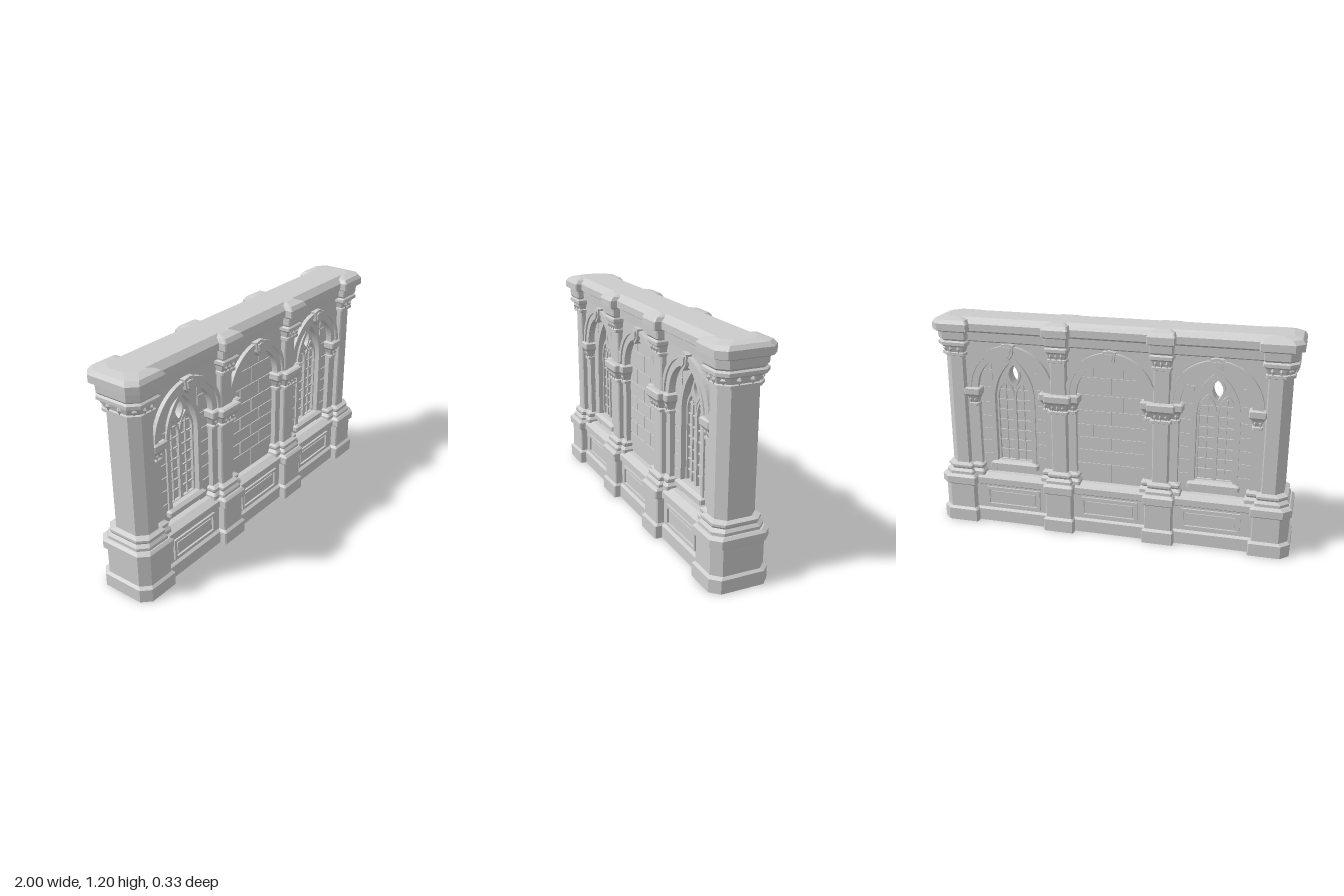
import * as THREE from 'three';

const stone = new THREE.MeshStandardMaterial({ color: 0xcccccc });
stone.name = 'pale stone';

function mesh(parent, name, geo, x = 0, y = 0, z = 0) {
  const m = new THREE.Mesh(geo, stone);
  m.name = name;
  m.position.set(x, y, z);
  parent.add(m);
  return m;
}

const box = (parent, name, w, h, d, x, y, z) => mesh(parent, name, new THREE.BoxGeometry(w, h, d), x, y, z);

// Stacked rectangular sections with chamfered corners; levels are [y, offset].
function loft(levels, x0, x1, hz, cL = 0.006, cR = 0.006, xScale = 1) {
  const rings = levels.map(([y, o]) => {
    const a = x0 - o * xScale, b = x1 + o * xScale, h = hz + o;
    return [[b, h - cR], [b, cR - h], [b - cR, -h], [a + cL, -h], [a, cL - h], [a, h - cL], [a + cL, h], [b - cR, h]]
      .map(([x, z]) => [x, y, z]);
  });
  const pos = [];
  const tri = (...p) => p.forEach(v => pos.push(...v));
  for (let k = 0; k + 1 < rings.length; k++) {
    for (let i = 0; i < 8; i++) {
      const j = (i + 1) % 8, lo = rings[k], hi = rings[k + 1];
      tri(lo[i], lo[j], hi[j]);
      tri(lo[i], hi[j], hi[i]);
    }
  }
  const bot = rings[0], top = rings[rings.length - 1];
  for (let i = 1; i < 7; i++) {
    tri(top[0], top[i], top[i + 1]);
    tri(bot[0], bot[i + 1], bot[i]);
  }
  const g = new THREE.BufferGeometry();
  g.setAttribute('position', new THREE.Float32BufferAttribute(pos, 3));
  g.computeVertexNormals();
  return g;
}

// Shapes
function trace(p, pts) {
  pts.forEach(([x, y], i) => (i ? p.lineTo(x, y) : p.moveTo(x, y)));
  p.closePath();
  return p;
}
const rect = (x0, y0, x1, y1, P = THREE.Shape) => trace(new P(), [[x0, y0], [x1, y0], [x1, y1], [x0, y1]]);

function roundArch(cx, hw, y0, spring) {
  const p = new THREE.Path();
  p.moveTo(cx - hw, y0);
  p.lineTo(cx + hw, y0);
  p.lineTo(cx + hw, spring);
  p.absarc(cx, spring, hw, 0, Math.PI, false);
  p.closePath();
  return p;
}

function halfRing(cx, cy, inner, outer) {
  const s = new THREE.Shape();
  s.moveTo(cx + outer, cy);
  s.absarc(cx, cy, outer, 0, Math.PI, false);
  s.lineTo(cx - inner, cy);
  s.absarc(cx, cy, inner, Math.PI, 0, true);
  s.closePath();
  return s;
}

function pointedArch(cx, hw, y0, spring, apex, P = THREE.Path) {
  const p = new P(), c = spring + (apex - spring) * 0.6;
  p.moveTo(cx - hw, y0);
  p.lineTo(cx + hw, y0);
  p.lineTo(cx + hw, spring);
  p.quadraticCurveTo(cx + hw, c, cx, apex);
  p.quadraticCurveTo(cx - hw, c, cx - hw, spring);
  p.closePath();
  return p;
}

function teardrop(s, P = THREE.Path) {
  const p = new P(), y = 0.875;
  p.moveTo(0, y - 0.057 * s);
  p.bezierCurveTo(0.036 * s, y - 0.025 * s, 0.038 * s, y + 0.02 * s, 0, y + 0.053 * s);
  p.bezierCurveTo(-0.038 * s, y + 0.02 * s, -0.036 * s, y - 0.025 * s, 0, y - 0.057 * s);
  return p;
}

// Extrusion from z0 to z1
function slab(parent, name, shape, holes, z0, z1, x = 0) {
  shape.holes.push(...holes);
  const g = new THREE.ExtrudeGeometry(shape, { depth: z1 - z0, bevelEnabled: false, curveSegments: 14 });
  return mesh(parent, name, g, x, 0, z0);
}

const BAYS = [-0.57, 0, 0.57];
const SPRING = 0.8;

const BASE = [[0, 0.05], [0.07, 0.05], [0.082, 0.036], [0.222, 0.036], [0.232, 0.05], [0.272, 0.05], [0.285, 0.036]];
const FOOT = [[0.28, 0.03], [0.3, 0.03], [0.315, 0.017], [0.325, 0.022], [0.337, 0.022], [0.348, 0]];
const CAPITAL = [[0.98, 0], [0.985, 0.014], [1.0, 0.014], [1.004, 0.006], [1.035, 0.016], [1.045, 0.03], [1.062, 0.03],
  [1.07, 0.02], [1.08, 0.028], [1.12, 0.03], [1.13, 0.05], [1.168, 0.05], [1.188, 0.034], [1.2, -0.012]];
const IMPOST = [[0.69, 0], [0.695, 0.012], [0.708, 0.012], [0.713, 0.003], [0.75, 0.018], [0.765, 0.03], [0.797, 0.03], [0.803, 0.02]];

// Small carved leaf on a capital
const leafGeo = new THREE.OctahedronGeometry(1, 0);
function leaf(parent, x, y, z, w = 0.012, d = 0.012) {
  mesh(parent, 'capitalLeaf', leafGeo, x, y, z).scale.set(w, 0.024, d);
}

function endPillar(side) {
  const g = new THREE.Group();
  g.name = side > 0 ? 'leftEndPillar' : 'rightEndPillar';
  const [x0, x1] = side > 0 ? [0.83, 0.95] : [-0.95, -0.83];
  const [cL, cR] = side > 0 ? [0.006, 0.045] : [0.045, 0.006];
  const part = (name, lv) => mesh(g, name, loft(lv, x0, x1, 0.11, cL, cR));
  part('pillarBase', BASE);
  part('pillarFoot', FOOT);
  part('pillarShaft', [[0.34, 0], [0.985, 0]]);
  part('pillarCapital', CAPITAL);
  for (const s of [-1, 1]) {
    leaf(g, side * 0.965, 1.022, s * 0.035, 0.012, 0.016);
    leaf(g, side * 0.935, 1.022, s * 0.098, 0.018, 0.018);
    for (const x of [0.85, 0.895]) leaf(g, side * x, 1.022, s * 0.124);
  }
  // half pier carrying the arch beside the pillar
  const [a, b] = side > 0 ? [0.773, 0.805] : [-0.805, -0.773];
  mesh(g, 'pierFoot', loft(FOOT, a, b, 0.082));
  mesh(g, 'pierImpost', loft(IMPOST, a, b, 0.085));
  for (const s of [-1, 1]) for (const x of [0.777, 0.805]) leaf(g, side * x, 0.732, s * 0.096, 0.01, 0.01);
  return g;
}

function middlePillar(cx) {
  const g = new THREE.Group();
  g.name = 'middlePillar';
  const part = (name, lv, hw, hz, k = 1) => mesh(g, name, loft(lv, cx - hw, cx + hw, hz, 0.006, 0.006, k));
  part('pillarBase', BASE, 0.05, 0.112, 0.75);
  part('pierFoot', FOOT, 0.085, 0.082);
  part('pillarFoot', FOOT, 0.045, 0.11);
  part('pillarShaft', [[0.34, 0], [0.985, 0]], 0.045, 0.11);
  part('pierImpost', IMPOST, 0.085, 0.085);
  part('pillarImpost', IMPOST, 0.046, 0.115);
  part('pillarCapital', CAPITAL, 0.045, 0.114, 0.6);
  for (const s of [-1, 1]) {
    for (const x of [-0.03, 0, 0.03]) {
      leaf(g, cx + x, 1.022, s * 0.127, 0.01);
      leaf(g, cx + x, 0.732, s * 0.125, 0.01);
    }
    for (const x of [-0.08, 0.08]) leaf(g, cx + x, 0.732, s * 0.096, 0.011, 0.011);
  }
  return g;
}

// Carved work on one face of the wall
function wallFace() {
  const g = new THREE.Group();
  g.name = 'wallFace';
  for (const cx of BAYS) {
    // stepped arch moulding and shield keystone
    slab(g, 'archMoulding', halfRing(cx, SPRING, 0.19, 0.23), [], 0.07, 0.092);
    slab(g, 'archRim', halfRing(cx, SPRING, 0.226, 0.25), [], 0.07, 0.102);
    const shield = (s) => trace(new THREE.Shape(), [[0, -0.05], [0.027, -0.02], [0.036, 0.036], [0, 0.044], [-0.036, 0.036], [-0.027, -0.02]]
      .map(([x, y]) => [cx + x * s, 1.022 + y * s]));
    slab(g, 'keystone', shield(1), [], 0.05, 0.112);
    slab(g, 'keystoneFace', shield(0.65), [], 0.11, 0.12);
    // framed panel in the plinth
    slab(g, 'panelFrame', rect(cx - 0.162, 0.095, cx + 0.162, 0.212), [rect(cx - 0.146, 0.11, cx + 0.146, 0.197, THREE.Path)], 0.1, 0.117);
    box(g, 'panel', 0.268, 0.064, 0.01, cx, 0.1535, 0.107);
    // raised stone courses
    const ys = [0.28, 0.4, 0.48, 0.555, 0.63, 0.71, 0.8, 0.9, 1.0];
    for (let r = 0; r + 1 < ys.length; r++) {
      const y = (ys[r] + ys[r + 1]) / 2, h = ys[r + 1] - ys[r] - 0.006;
      if (cx === 0) {
        const cuts = r % 2 ? [-0.2, -0.1, 0.07, 0.2] : [-0.2, 0, 0.2];
        for (let i = 0; i + 1 < cuts.length; i++) {
          box(g, 'stoneBlock', cuts[i + 1] - cuts[i] - 0.006, h, 0.012, (cuts[i] + cuts[i + 1]) / 2, y, 0.046);
        }
      } else {
        for (const s of [-1, 1]) box(g, 'stoneBlock', 0.08, h, 0.012, cx + s * 0.16, y, 0.046);
      }
    }
  }
  for (const cx of [-0.57, 0.57]) {
    const w = new THREE.Group();
    w.name = 'window';
    w.position.x = cx;
    g.add(w);
    slab(w, 'windowFrame', pointedArch(0, 0.13, 0.345, 0.73, 0.985, THREE.Shape), [pointedArch(0, 0.105, 0.36, 0.72, 0.957)], 0.03, 0.062);
    mesh(w, 'windowSill', loft([[0.325, 0], [0.35, 0], [0.362, -0.02]], -0.142, 0.142, 0.082));
    slab(w, 'teardropTracery', teardrop(1.4, THREE.Shape), [teardrop(1)], 0.01, 0.034);
    for (const s of [-1, 1]) {
      slab(w, 'lancetTracery', pointedArch(s * 0.052, 0.052, 0.355, 0.74, 0.845, THREE.Shape),
        [pointedArch(s * 0.052, 0.042, 0.365, 0.735, 0.825)], 0.01, 0.034);
      box(w, 'glazingBar', 0.007, 0.46, 0.02, s * 0.052, 0.59, 0.018);
    }
    for (let i = 0; i < 7; i++) box(w, 'glazingBar', 0.2, 0.007, 0.02, 0, 0.42 + i * 0.06, 0.017);
  }
  return g;
}

export function createModel() {
  const model = new THREE.Group();
  model.name = 'gothicWall';

  // plinth and coping run the whole length
  mesh(model, 'plinth', loft([[0, 0.022], [0.07, 0.022], [0.08, 0.006], [0.222, 0.006], [0.232, 0.022], [0.268, 0.022], [0.288, -0.02]], -0.9, 0.9, 0.1));
  mesh(model, 'coping', loft([[1.062, -0.02], [1.072, 0], [1.118, 0.002], [1.13, 0.022], [1.168, 0.022], [1.2, -0.012]], -0.9, 0.9, 0.1));

  // arcade layer with three arched bays, and the thinner wall behind it
  slab(model, 'arcade', rect(-0.9, 0.27, 0.9, 1.08), BAYS.map(x => roundArch(x, 0.195, 0.275, SPRING)), -0.08, 0.08);
  slab(model, 'innerWall', rect(-0.88, 0.26, 0.88, 1.06), [-0.57, 0.57].map(x => pointedArch(x, 0.11, 0.35, 0.72, 0.962)), -0.047, 0.047);
  for (const x of [-0.57, 0.57]) {
    slab(model, 'windowPane', pointedArch(0, 0.115, 0.345, 0.72, 0.967, THREE.Shape), [teardrop(1)], -0.018, 0.018, x);
  }

  for (const s of [-1, 1]) {
    model.add(endPillar(s), middlePillar(s * 0.285));
    const face = wallFace();
    if (s < 0) face.rotation.y = Math.PI;
    model.add(face);
  }
  return model;
}
